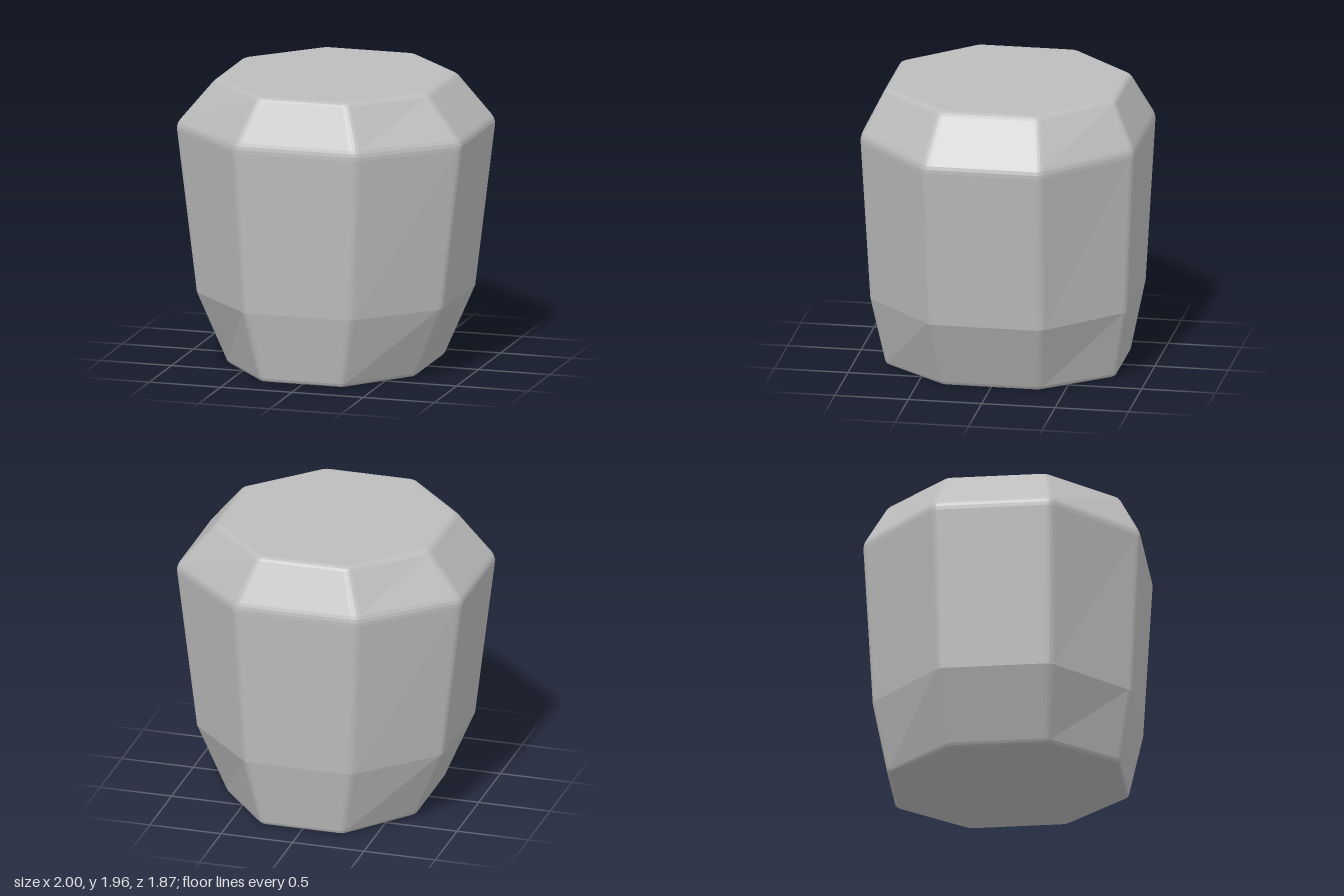
import * as THREE from 'three';

const STEPS = 3; // facets per rounded edge

// Quadratic blend around corner b between points p and q (any dimension)
function roundCorner(p, b, q) {
  const out = [];
  for (let i = 0; i <= STEPS; i++) {
    const t = i / STEPS;
    out.push(b.map((v, k) => (1 - t) ** 2 * p[k] + 2 * t * (1 - t) * v + t * t * q[k]));
  }
  return out;
}

const mix = (a, b, t) => a.map((v, k) => v + (b[k] - v) * t);

// Octagon with softened corners: half width X, half depth Z, corners at cx and cz
function octagon([y, X, Z, cx, cz]) {
  const c = [[X, cz], [cx, Z], [-cx, Z], [-X, cz], [-X, -cz], [-cx, -Z], [cx, -Z], [X, -cz]];
  return c.flatMap((b, i) => roundCorner(mix(b, c[(i + 7) % 8], 0.045), b, mix(b, c[(i + 1) % 8], 0.045)))
    .map(([x, z]) => [x, y, z]);
}

// Levels from the bottom up: y, half width, half depth, corner x, corner z, edge radius
const LEVELS = [
  [0, 0, 0, 0, 0, 0],
  [0, 0.657, 0.783, 0.285, 0.33, 0.03],
  [0.49, 0.866, 0.876, 0.37, 0.378, 0],
  [1.64, 1.005, 0.935, 0.425, 0.395, 0.04],
  [1.96, 0.743, 0.777, 0.31, 0.33, 0.035],
  [1.96, 0, 0, 0, 0, 0],
];

function bodyGeometry() {
  // Soften the profile at each level that has an edge radius
  const rows = LEVELS.flatMap((level, i) => {
    const r = level[5];
    if (!r) return [level.slice(0, 5)];
    const toward = (other) => mix(level, other, r / Math.hypot(other[0] - level[0], other[1] - level[1])).slice(0, 5);
    return roundCorner(toward(LEVELS[i - 1]), level.slice(0, 5), toward(LEVELS[i + 1]));
  });
  const rings = rows.map(octagon);
  const n = rings[0].length;
  const last = rings.length - 1;
  const pos = [];
  for (let i = 0; i < last; i++) {
    for (let j = 0; j < n; j++) {
      const k = (j + 1) % n;
      const a = rings[i][j], b = rings[i][k], c = rings[i + 1][j], d = rings[i + 1][k];
      if (i > 0) pos.push(...a, ...c, ...b); // first ring is a single point
      if (i < last - 1 || i === 0) pos.push(...b, ...c, ...d); // last ring too
    }
  }
  const geo = new THREE.BufferGeometry();
  geo.setAttribute('position', new THREE.Float32BufferAttribute(pos, 3));
  geo.computeVertexNormals(); // unshared corners give flat facets
  return geo;
}

export function createModel() {
  const group = new THREE.Group();
  group.name = 'facetedBlock';
  const grey = new THREE.MeshStandardMaterial({ color: 0xbcbcbc });
  grey.name = 'grey';
  const body = new THREE.Mesh(bodyGeometry(), grey);
  body.name = 'body';
  group.add(body);
  return group;
}
